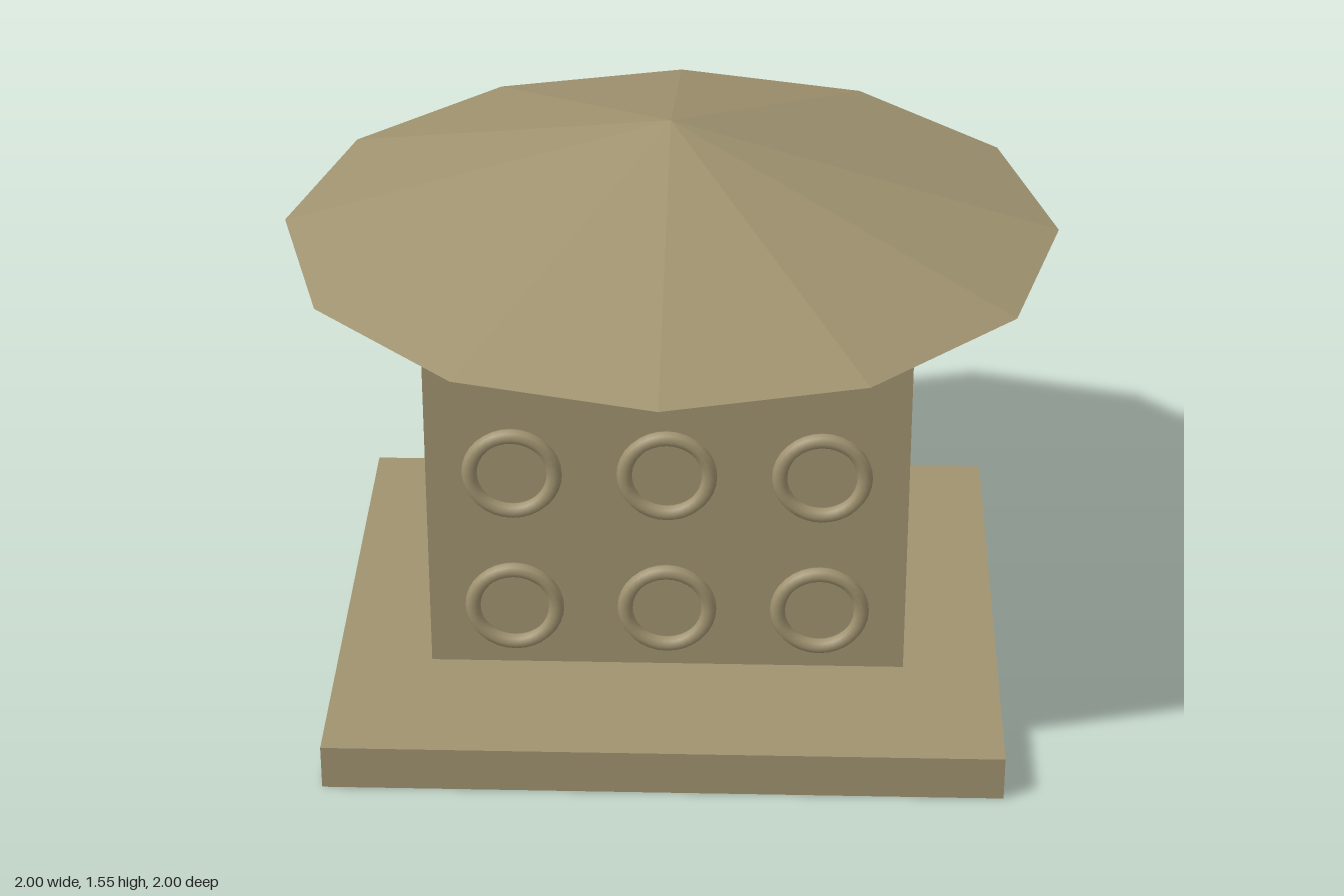
import * as THREE from 'three';

export function createModel() {
  const model = new THREE.Group();
  const sandstone = new THREE.MeshStandardMaterial({ color: 0xa09370 });
  sandstone.name = 'sandstone';
  const facetedSandstone = sandstone.clone();
  facetedSandstone.flatShading = true;

  function add(name, geometry, x, y, z, material = sandstone) {
    const mesh = new THREE.Mesh(geometry, material);
    mesh.name = name;
    mesh.position.set(x, y, z);
    model.add(mesh);
    return mesh;
  }

  // Plinth and main block
  add('base', new THREE.BoxGeometry(1.75, 0.12, 1.5), 0, 0.06, 0);
  add('body', new THREE.BoxGeometry(1.25, 1.135, 0.65), 0, 0.6875, 0);

  // Twelve-sided overhanging roof
  add('roof', new THREE.ConeGeometry(1, 0.295, 12), 0, 1.4025, 0, facetedSandstone);

  // Three by three grid of rings on the front wall
  const ring = new THREE.TorusGeometry(0.11, 0.02, 8, 32);
  for (let row = 0; row < 3; row++) {
    for (let col = -1; col <= 1; col++) {
      add('frontRing', ring, col * 0.4, 0.305 + row * 0.4, 0.345);
    }
  }
  return model;
}
